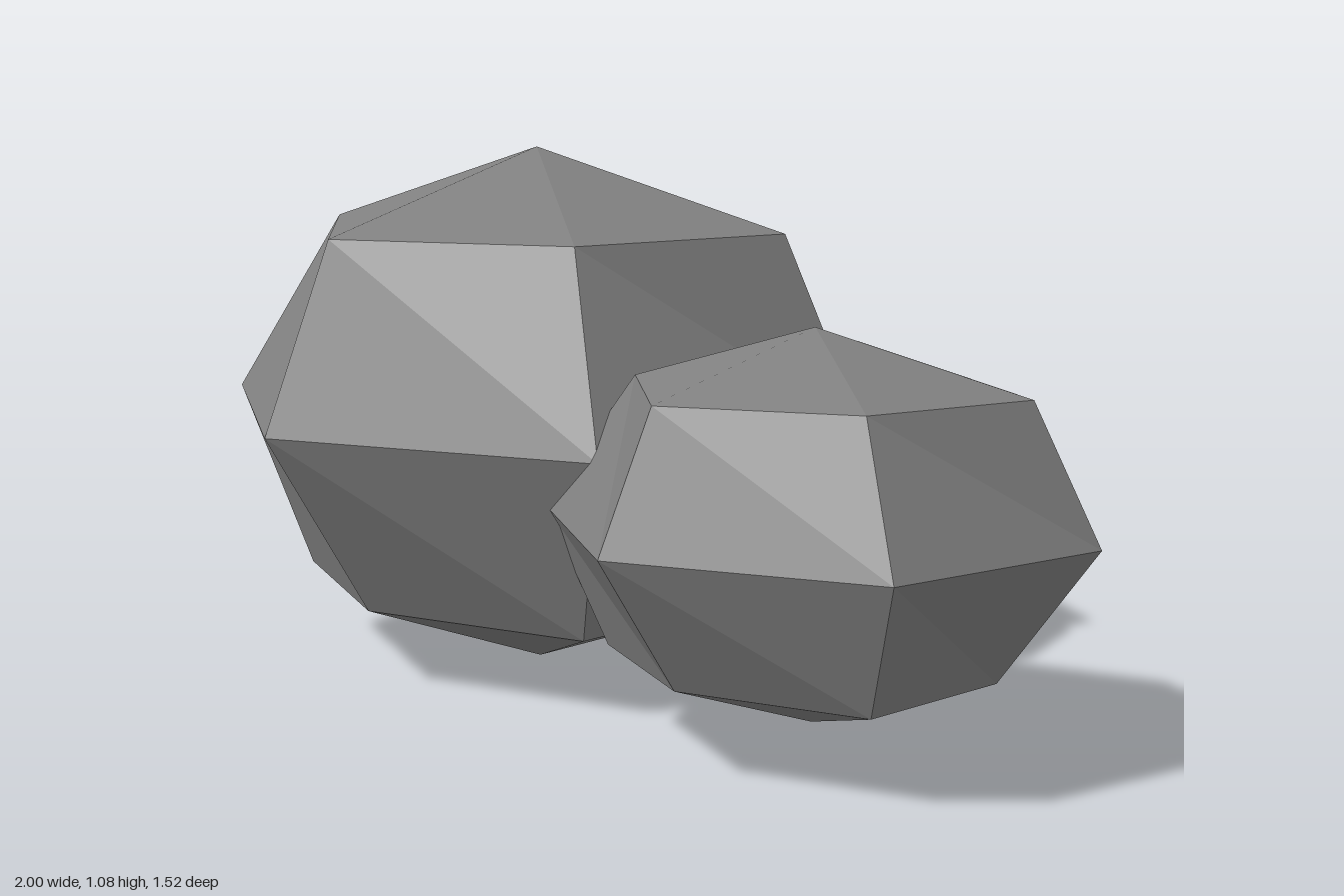
import * as THREE from 'three';

// A faceted boulder: a squashed six-sided sphere whose upper and lower rings
// bulge and pinch alternately, in opposite phase.
function boulder(name, material, [rx, ry, rz], rings, bulge, position) {
  const geometry = new THREE.SphereGeometry(1, 6, rings);
  const p = geometry.attributes.position;
  for (let i = 0; i < p.count; i++) {
    const x = p.getX(i), y = p.getY(i), z = p.getZ(i);
    const side = Math.abs(y) < 0.01 ? 0 : Math.sign(y);
    const k = 1 - bulge * side * Math.cos(3 * Math.atan2(z, -x));
    p.setXYZ(i, x * rx * k, y * ry, z * rz * k);
  }
  geometry.computeVertexNormals();
  const mesh = new THREE.Mesh(geometry, material);
  mesh.name = name;
  mesh.position.set(...position);
  return mesh;
}

export function createModel() {
  const stone = new THREE.MeshStandardMaterial({ color: 0x808080, flatShading: true });
  stone.name = 'stone grey';

  const group = new THREE.Group();
  group.name = 'rockCluster';
  group.add(
    boulder('largeRock', stone, [0.705, 0.54, 0.62], 4, 0.082, [-0.295, 0.54, -0.097]),
    boulder('mediumRock', stone, [0.54, 0.374, 0.456], 4, 0.074, [0.456, 0.436, 0.363]),
    boulder('smallRock', stone, [0.404, 0.283, 0.373], 3, 0.058, [0.12, 0.353, -0.468]),
  );
  return group;
}
